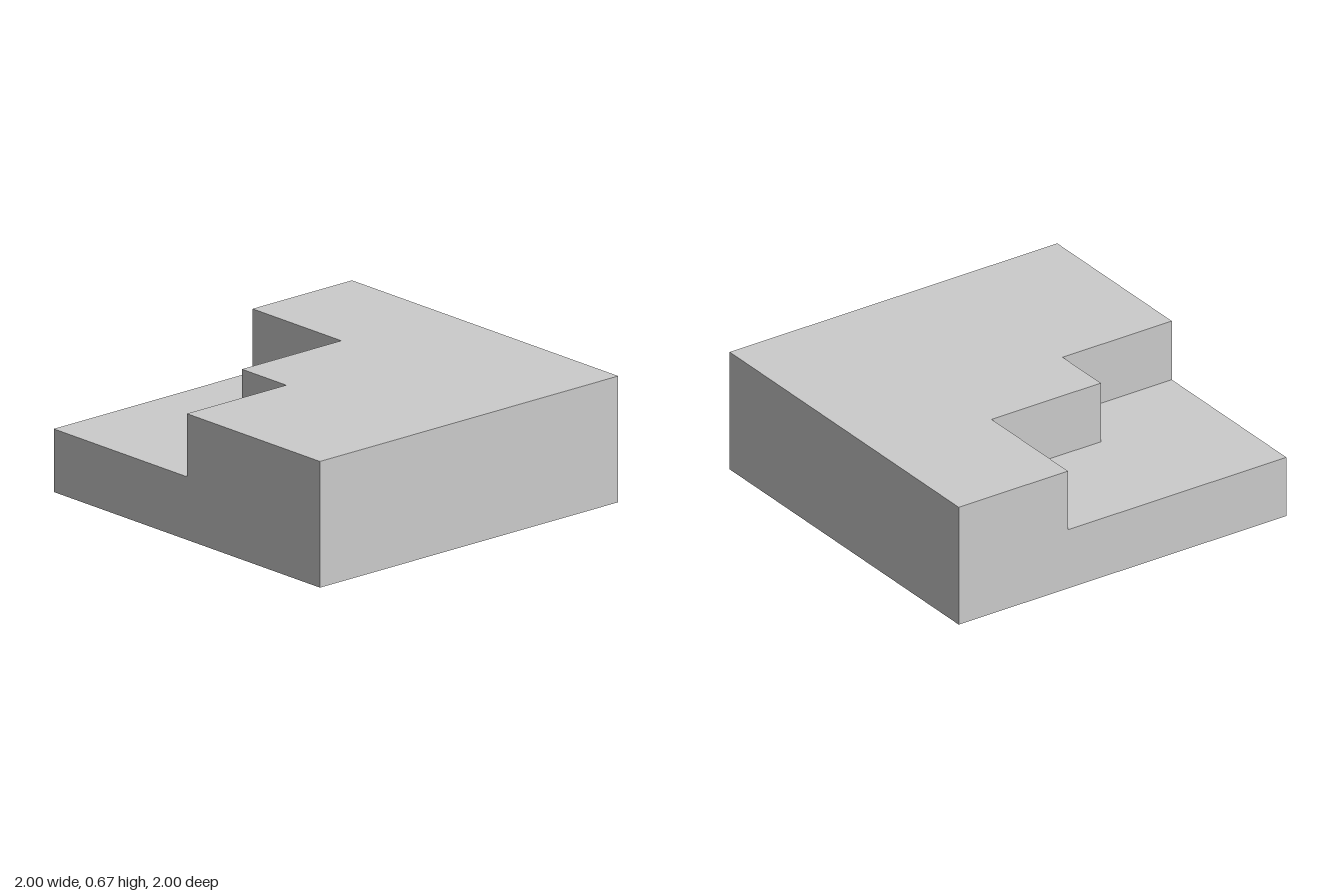
import * as THREE from 'three';

const T = 1 / 3;

// Extrudes a plan outline of [x, z] points upward from y = bottom.
function slab(name, outline, bottom, height, material) {
  const shape = new THREE.Shape(outline.map(([x, z]) => new THREE.Vector2(x, -z)));
  const geometry = new THREE.ExtrudeGeometry(shape, { depth: height, bevelEnabled: false });
  geometry.rotateX(-Math.PI / 2);
  geometry.translate(0, bottom, 0);
  const mesh = new THREE.Mesh(geometry, material);
  mesh.name = name;
  return mesh;
}

export function createModel() {
  const group = new THREE.Group();
  group.name = 'steppedBlock';
  const material = new THREE.MeshStandardMaterial({ color: 0xcccccc, flatShading: true });

  // Full square lower layer; its top is the floor of the recess
  const square = [[-1, 1], [1, 1], [1, -1], [-1, -1]];
  group.add(slab('baseLayer', square, 0, T, material));

  // Upper layer with a stepped recess cut from the back corner
  const stepped = [[-1, 1], [1, 1], [1, -1], [T, -1], [T, -T], [-T, -T], [-T, 0], [-1, 0]];
  group.add(slab('upperLayer', stepped, T, T, material));

  return group;
}
